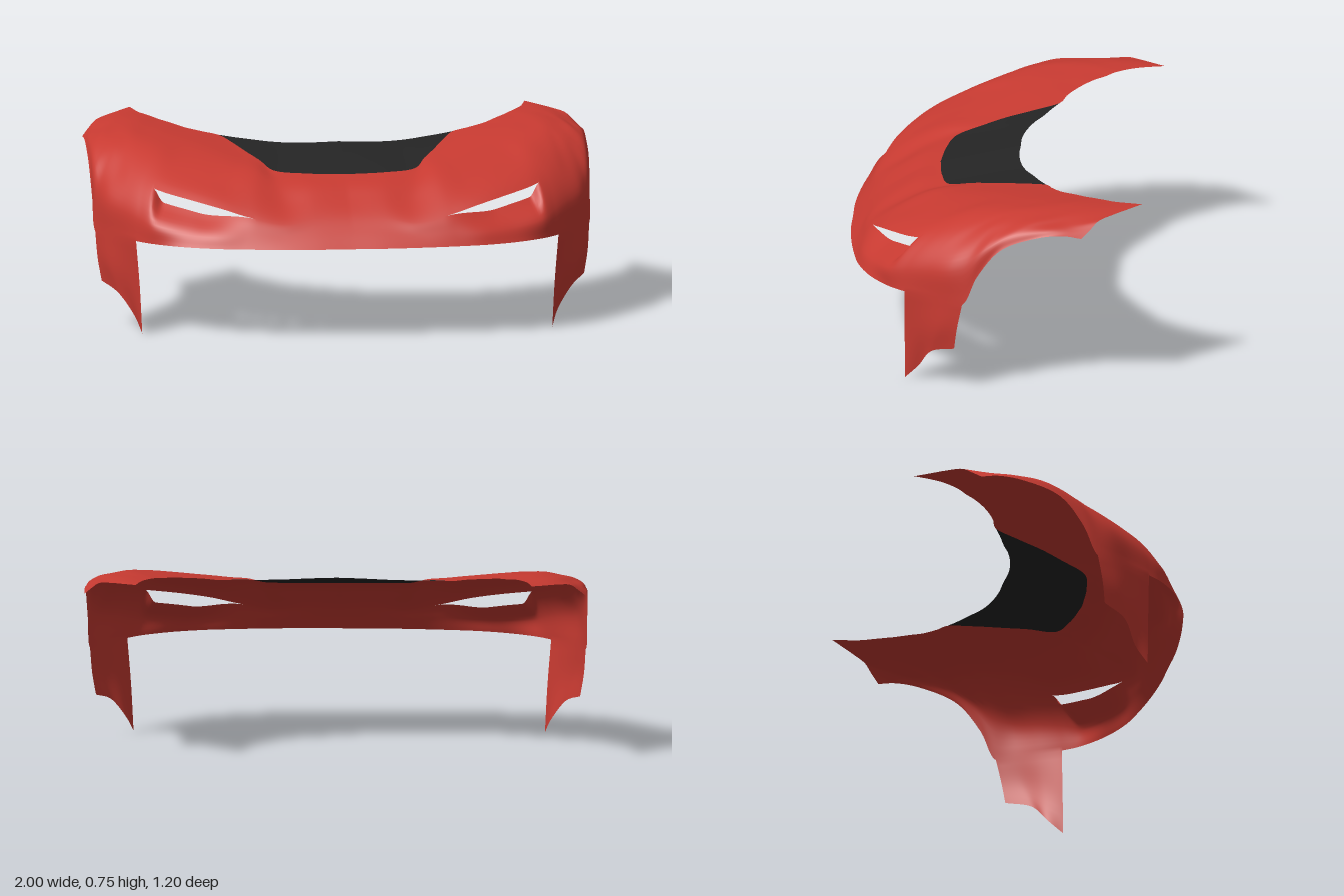
import * as THREE from 'three';
import { mergeGeometries, mergeVertices } from 'three/addons/utils/BufferGeometryUtils.js';

const V = (p) => new THREE.Vector3(...p);
const line = (pts) => new THREE.CatmullRomCurve3(pts.map(V));
const step = THREE.MathUtils.smoothstep;
const SUB = 12; // samples between neighbouring guide points

// Guide lines of the left half, each running from the nose centre to the rear fender tip.
// Inner edge: around the dark panel, then along the rear edge
const inner = line([
  [0, .615, .25], [.16, .618, .235], [.28, .625, .2], [.33, .65, .1], [.375, .668, .01], [.42, .685, -.1],
  [.47, .70, -.2], [.53, .71, -.225], [.6, .72, -.27], [.65, .73, -.32], [.69, .735, -.37], [.715, .74, -.40],
  [.74, .743, -.44], [.765, .744, -.49], [.78, .745, -.55], [.79, .745, -.6]]);
// Hood crown
const crown = line([
  [0, .585, .33], [.14, .59, .33], [.27, .59, .31], [.36, .63, .25], [.44, .645, .2], [.51, .668, .11],
  [.6, .695, 0], [.66, .71, -.06], [.71, .722, -.12], [.75, .73, -.18], [.78, .738, -.24], [.80, .742, -.29],
  [.82, .743, -.35], [.835, .744, -.41], [.85, .742, -.48], [.84, .74, -.545]]);
// Shoulder above the headlight
const shoulder = line([
  [0, .545, .40], [.14, .545, .41], [.26, .535, .41], [.38, .575, .375], [.48, .595, .33], [.57, .615, .28],
  [.68, .645, .19], [.74, .675, .11], [.79, .695, .03], [.83, .71, -.04], [.85, .722, -.11], [.87, .728, -.18],
  [.89, .73, -.25], [.89, .735, -.34], [.9, .733, -.42], [.89, .735, -.49]]);
// Crease that forms the upper lip of the headlight opening
const crease = line([
  [0, .49, .485], [.14, .485, .495], [.26, .465, .52], [.4, .49, .497], [.51, .52, .46], [.62, .545, .405],
  [.74, .57, .325], [.81, .59, .24], [.855, .612, .16], [.885, .632, .09], [.91, .67, 0], [.93, .69, -.07],
  [.945, .71, -.16], [.94, .715, -.28], [.95, .715, -.36], [.94, .725, -.435]]);
// Middle of the bumper and fender side
const flank = line([
  [0, .435, .545], [.14, .43, .55], [.27, .42, .555], [.41, .43, .54], [.53, .425, .525], [.65, .43, .475],
  [.775, .45, .41], [.835, .48, .33], [.89, .5, .25], [.945, .52, .165], [.97, .55, .09], [.985, .61, .015],
  [.985, .67, -.09], [.985, .695, -.23], [.98, .695, -.33], [.97, .70, -.405]]);
// Lower edge of the bumper, then the wheel arch
const outer = line([
  [0, .375, .6], [.14, .375, .6], [.28, .375, .59], [.43, .375, .57], [.55, .375, .545], [.68, .375, .49],
  [.79, .375, .41], [.845, .375, .345], [.9, .375, .26], [.955, .375, .175], [.988, .375, .107], [.995, .5, .045],
  [1, .615, -.05], [1, .67, -.2], [1, .68, -.3], [1, .67, -.37]]);
// Fender skirt ahead of the wheel
const skirtMid = line([[.83, .19, .345], [.88, .22, .28], [.94, .255, .205], [.98, .27, .128]]);
const skirtEnd = line([[.82, 0, .345], [.845, .06, .29], [.905, .145, .235], [.965, .18, .14]]);
// Rear edge of the dark panel
const panelRear = line([[0, .69, -.07], [.1, .687, -.07], [.2, .685, -.085], [.28, .687, -.11],
  [.34, .69, -.14], [.41, .695, -.17], [.47, .70, -.2]]);

const at = (curve, t) => curve.getPoint(t / (curve.points.length - 1));

// Lower lip: follows the crease but drops away along the headlight opening
function lowerLip(t) {
  const gap = .045 * step(t, 2.8, 4.8) * (1 - step(t, 5.9, 6.4));
  return at(crease, t).sub(new THREE.Vector3(0, gap, gap * .35));
}

// Grid surface: section(t) gives a curve, sampled from s0 to s1
function loft(t0, t1, rows, section, s0 = 0, s1 = 1) {
  const cols = (t1 - t0) * SUB, pos = [], index = [];
  for (let i = 0; i <= cols; i++) {
    const curve = section(t0 + i / SUB);
    for (let j = 0; j <= rows; j++) pos.push(...curve.getPoint(s0 + (s1 - s0) * j / rows).toArray());
  }
  for (let i = 0; i < cols; i++) {
    for (let j = 0; j < rows; j++) {
      const a = i * (rows + 1) + j, b = a + rows + 1;
      index.push(a, a + 1, b, b, a + 1, b + 1);
    }
  }
  const g = new THREE.BufferGeometry();
  g.setAttribute('position', new THREE.Float32BufferAttribute(pos, 3));
  g.setIndex(index);
  return g;
}

// Mirror the half patches across x = 0 and weld them into one smooth surface
function weld(patches) {
  const mirrored = patches.map((p) => {
    const m = p.clone().scale(-1, 1, 1);
    const ids = m.index.array;
    for (let i = 0; i < ids.length; i += 3) [ids[i], ids[i + 1]] = [ids[i + 1], ids[i]];
    return m;
  });
  const g = mergeVertices(mergeGeometries([...patches, ...mirrored]), 1e-4);
  g.computeVertexNormals();
  return g;
}

export function createModel() {
  const red = new THREE.MeshStandardMaterial({ color: 0xc73a31, side: THREE.DoubleSide });
  red.name = 'red paint';
  const black = new THREE.MeshStandardMaterial({ color: 0x242424, side: THREE.DoubleSide });
  black.name = 'black panel';

  const across = (lip) => (t) => new THREE.CatmullRomCurve3(
    [at(inner, t), at(crown, t), at(shoulder, t), lip(t), at(flank, t), at(outer, t)]);

  // Hood and fender tops, bumper and fender sides, and the skirts
  const hood = loft(0, 15, 18, across((t) => at(crease, t)), 0, .6);
  const bumper = loft(0, 15, 12, across(lowerLip), .6, 1);
  const skirt = loft(7, 10, 10, (t) => new THREE.CatmullRomCurve3(
    [at(outer, t), at(skirtMid, t - 7), at(skirtEnd, t - 7)]));
  const body = new THREE.Mesh(weld([hood, bumper, skirt]), red);
  body.name = 'frontBodyShell';

  // Dark panel set into the hood
  const panel = new THREE.Mesh(
    weld([loft(0, 6, 6, (t) => new THREE.LineCurve3(at(panelRear, t), at(inner, t)))]), black);
  panel.name = 'hoodPanel';

  const model = new THREE.Group();
  model.name = 'carFrontClip';
  model.add(body, panel);
  return model;
}
